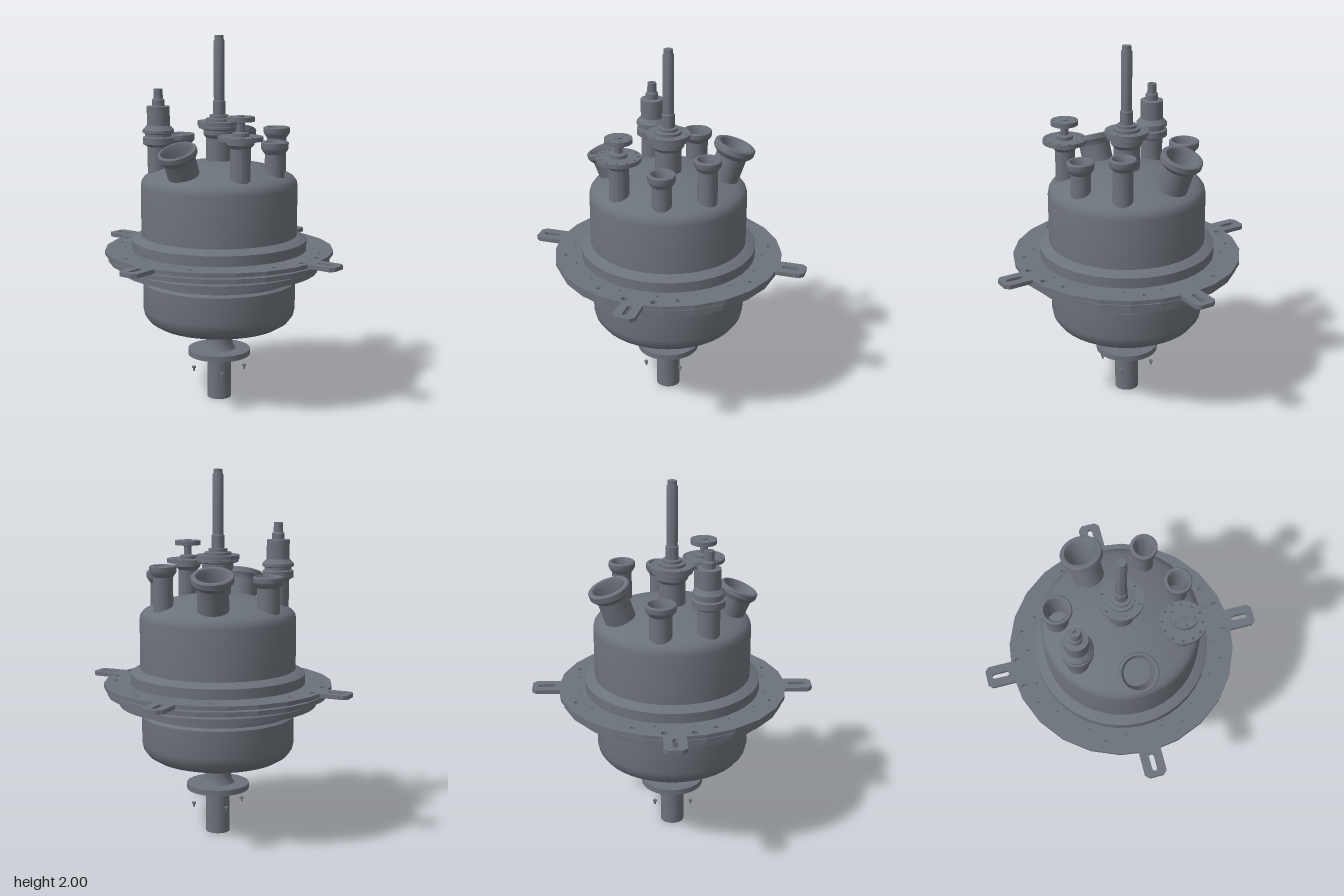
import * as THREE from 'three';
import { toCreasedNormals } from 'three/addons/utils/BufferGeometryUtils.js';

const steel = new THREE.MeshStandardMaterial({ color: 0x6c727a, side: THREE.DoubleSide });

function part(name, geometry, parent, x = 0, y = 0, z = 0) {
  const mesh = new THREE.Mesh(geometry, steel);
  mesh.name = name;
  mesh.position.set(x, y, z);
  parent.add(mesh);
  return mesh;
}

// Turned part from [radius, height] pairs, listed from the bottom up
function turned(profile, segments = 32) {
  const points = profile.map(([r, y]) => new THREE.Vector2(r, y));
  return toCreasedNormals(new THREE.LatheGeometry(points, segments), 0.55);
}

function circleHole(shape, x, y, r) {
  const hole = new THREE.Path();
  hole.absarc(x, y, r, 0, Math.PI * 2, true);
  shape.holes.push(hole);
}

// Flat plate lying in xz, rising from y = 0
function plate(shape, depth) {
  const geo = new THREE.ExtrudeGeometry(shape, { depth, bevelEnabled: false, curveSegments: 8 });
  return geo.rotateX(-Math.PI / 2);
}

// Round flange with a ring of bolt holes
function boltedDisc(radius, depth, count, holeCircle, holeRadius) {
  const pts = [];
  for (let i = 0; i < 32; i++) {
    const a = i / 32 * Math.PI * 2;
    pts.push(new THREE.Vector2(radius * Math.cos(a), radius * Math.sin(a)));
  }
  const shape = new THREE.Shape(pts);
  for (let i = 0; i < count; i++) {
    const a = (i + 0.5) / count * Math.PI * 2;
    circleHole(shape, holeCircle * Math.cos(a), holeCircle * Math.sin(a), holeRadius);
  }
  return toCreasedNormals(plate(shape, depth), 0.55);
}

// Ring polygon, optionally with four slotted mounting tabs
function ringShape(radius, tabs) {
  const pts = [];
  for (let q = 0; q < 4; q++) {
    const turn = q * Math.PI / 2;
    const local = tabs
      ? [[0.616, -0.06], [0.745, -0.06], [0.767, -0.038], [0.767, 0.038], [0.745, 0.06], [0.616, 0.06]]
      : [[radius, 0]];
    for (let i = 1; i < 6; i++) {
      const a = THREE.MathUtils.degToRad(i * 15);
      local.push([radius * Math.cos(a), radius * Math.sin(a)]);
    }
    for (const [x, y] of local) pts.push(new THREE.Vector2(x, y).rotateAround(new THREE.Vector2(), turn));
  }
  const shape = new THREE.Shape(pts);
  circleHole(shape, 0, 0, 0.45);
  return shape;
}

// Open pipe stub with a thick rim; local y = 0 is the rim's top
function stub(pipe, rim, bore, rimHeight, length) {
  return turned([
    [pipe, -length], [pipe, -rimHeight - 0.02], [rim * 0.93, -rimHeight], [rim, -rimHeight * 0.75],
    [rim, -0.005], [rim - 0.005, 0], [bore + 0.012, 0], [bore, -0.025], [bore, -length],
  ], 28);
}

export function createModel() {
  const model = new THREE.Group();
  model.name = 'reactorVessel';

  // Vessel: upper jacket with dome, and lower bowl
  part('upperVessel', turned([
    [0.45, 0.8], [0.477, 0.8], [0.477, 0.905], [0.44, 0.925], [0.425, 0.93], [0.425, 1.2], [0.42, 1.225],
    [0.405, 1.245], [0.375, 1.262], [0.27, 1.3], [0.15, 1.325], [0.07, 1.333], [0, 1.335],
  ], 40), model);
  part('lowerVessel', turned([
    [0, 0.353], [0.08, 0.355], [0.16, 0.372], [0.28, 0.408], [0.345, 0.428], [0.385, 0.452], [0.41, 0.485],
    [0.418, 0.52], [0.418, 0.67], [0.4, 0.682], [0.4, 0.69], [0.42, 0.692], [0.42, 0.715], [0.44, 0.718],
    [0.44, 0.735], [0.54, 0.735], [0.54, 0.765], [0.525, 0.778], [0.49, 0.778], [0.49, 0.8], [0.44, 0.8],
  ], 40), model);

  // Mounting plate with slots and bolt holes
  const mount = ringShape(0.623, true);
  for (let q = 0; q < 4; q++) {
    const a = q * Math.PI / 2;
    const centre = new THREE.Vector2();
    const slot = [];
    for (let i = 0; i <= 12; i++) {
      const t = Math.PI / 2 - (i % 13) / 12 * Math.PI;
      slot.push(new THREE.Vector2(0.722 + 0.014 * Math.cos(t), 0.014 * Math.sin(t)));
    }
    for (let i = 0; i <= 12; i++) {
      const t = -Math.PI / 2 - i / 12 * Math.PI;
      slot.push(new THREE.Vector2(0.654 + 0.014 * Math.cos(t), 0.014 * Math.sin(t)));
    }
    mount.holes.push(new THREE.Path(slot.map((p) => p.rotateAround(centre, a))));
  }
  for (let i = 0; i < 16; i++) {
    const a = (i + 0.5) * Math.PI / 8;
    circleHole(mount, 0.515 * Math.cos(a), 0.515 * Math.sin(a), 0.007);
  }
  for (let i = 0; i < 8; i++) {
    const a = (i + 0.5) * Math.PI / 4;
    circleHole(mount, 0.56 * Math.cos(a), 0.56 * Math.sin(a), 0.012);
  }
  for (const [x, y] of [[0.571, 0.103], [0.579, -0.053], [-0.579, 0.053], [-0.575, -0.103]]) {
    circleHole(mount, x, y, 0.018);
  }
  part('mountingPlate', plate(mount, 0.022), model, 0, 0.828, 0);
  part('clampRing', plate(ringShape(0.605, false), 0.025), model, 0, 0.79, 0);

  // Outlet below the bowl
  part('outletPipe', turned([
    [0, 0], [0.066, 0], [0.066, 0.235], [0.09, 0.235], [0.09, 0.247], [0.172, 0.247], [0.172, 0.278],
    [0.09, 0.28], [0.078, 0.3], [0.072, 0.33], [0.072, 0.37],
  ]), model);
  for (const x of [-0.1, 0.1]) {
    for (const z of [-0.1, 0.1]) {
      part('outletScrew', turned([
        [0, 0.148], [0.005, 0.15], [0.005, 0.165], [0.011, 0.167], [0.011, 0.176], [0, 0.176],
      ], 10), model, x, 0, z);
    }
  }

  // Central drive: neck, flanges and tall shaft
  const drive = new THREE.Group();
  drive.name = 'centralDrive';
  model.add(drive);
  part('driveNeck', turned([
    [0.07, 1.3], [0.07, 1.455], [0.085, 1.475], [0.085, 1.5], [0.11, 1.508], [0.11, 1.52], [0, 1.52],
  ]), drive);
  part('driveFlange', boltedDisc(0.117, 0.022, 6, 0.098, 0.007), drive, 0, 1.523, 0);
  part('driveShaft', turned([
    [0.072, 1.545], [0.072, 1.56], [0.052, 1.563], [0.052, 1.578], [0.034, 1.58], [0.034, 1.65],
    [0.029, 1.655], [0.029, 1.97], [0.024, 1.98], [0.024, 2], [0, 2],
  ], 24), drive);

  // Stepped sensor column
  part('sensorColumn', turned([
    [0.06, 1.22], [0.06, 1.405], [0.085, 1.42], [0.085, 1.455], [0.072, 1.46], [0.072, 1.475], [0.085, 1.48],
    [0.085, 1.495], [0.062, 1.52], [0.062, 1.622], [0.034, 1.625], [0.034, 1.655], [0.026, 1.665],
    [0.024, 1.715], [0.012, 1.715], [0.012, 1.69], [0, 1.69],
  ]), model, -0.275, 0, 0.18);

  // Bolted port with a handwheel
  const valve = new THREE.Group();
  valve.name = 'valvePort';
  valve.position.set(0.275, 0, 0.18);
  model.add(valve);
  part('valveNeck', turned([[0.053, 1.22], [0.053, 1.435], [0.072, 1.455], [0.072, 1.475], [0, 1.475]]), valve);
  part('valveFlange', boltedDisc(0.117, 0.022, 12, 0.102, 0.008), valve, 0, 1.475, 0);
  part('valveStem', turned([
    [0.045, 1.497], [0.045, 1.515], [0.022, 1.52], [0.022, 1.565], [0.04, 1.575], [0, 1.575],
  ], 24), valve);
  part('valveWheel', boltedDisc(0.073, 0.024, 6, 0.058, 0.006), valve, 0, 1.574, 0);
  part('valveCap', new THREE.CylinderGeometry(0.02, 0.02, 0.008, 16), valve, 0, 1.6, 0);

  // Upright pipe stubs
  part('leftPort', stub(0.053, 0.073, 0.045, 0.045, 0.22), model, 0.32, 1.45, -0.065);
  part('rightPort', stub(0.06, 0.082, 0.055, 0.04, 0.22), model, -0.325, 1.45, -0.065);
  part('backPort', stub(0.053, 0.072, 0.043, 0.04, 0.25), model, 0.19, 1.503, -0.27);

  // Large stubs leaning outwards from the vessel axis
  function leaningPort(name, x, y, z, tilt, geometry) {
    const port = part(name, geometry, model, x, y, z);
    port.rotation.set(tilt, Math.atan2(x, z), 0, 'YXZ');
  }
  leaningPort('frontPort', 0, 1.42, 0.36, 0.39, stub(0.085, 0.104, 0.077, 0.04, 0.22));
  leaningPort('backLargePort', -0.13, 1.472, -0.335, 0.33, stub(0.083, 0.112, 0.076, 0.045, 0.24));

  return model;
}
